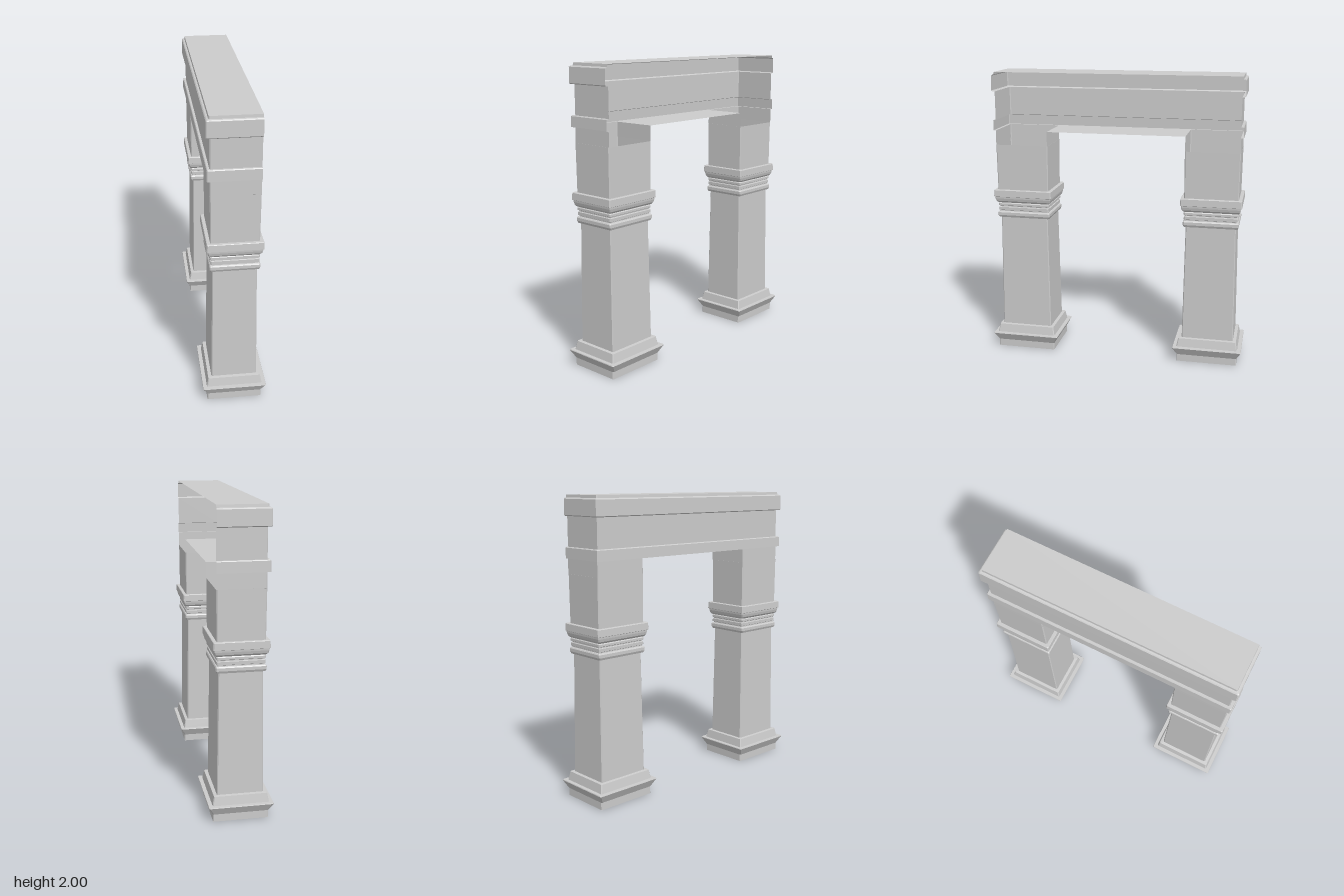
import * as THREE from 'three';

const material = new THREE.MeshStandardMaterial({ color: 0xcccccc, flatShading: true, side: THREE.DoubleSide });
const C = 0.006; // corner chamfer

// closed rectangular outline, widened on all sides by d
const rectangle = (hx, hz) => (d) => {
  const x = hx + d, z = hz + d;
  return [[-x + C, z], [x - C, z], [x, z - C], [x, -z + C], [x - C, -z], [-x + C, -z], [-x, -z + C], [-x, z - C], [-x + C, z]];
};

// three-sided outline, open towards +x, widened by d
const openSided = (hx, hz) => (d) => {
  const x = hx + d, z = hz + d;
  return [[hx, -z], [-x + C, -z], [-x, -z + C], [-x, z - C], [-x + C, z], [hx, z]];
};

// carries a moulding profile of [offset, height] around an outline
function moulding(name, outline, profile) {
  const positions = [], index = [];
  let n = 0;
  profile.forEach(([d, y]) => {
    const ring = outline(d);
    n = ring.length;
    ring.forEach(([x, z]) => positions.push(x, y, z));
  });
  for (let i = 0; i < profile.length - 1; i++) {
    for (let j = 0; j < n - 1; j++) {
      const a = i * n + j, b = a + 1, c = b + n, e = a + n;
      index.push(a, b, c, a, c, e);
    }
  }
  const indexed = new THREE.BufferGeometry();
  indexed.setAttribute('position', new THREE.Float32BufferAttribute(positions, 3));
  indexed.setIndex(index);
  const geometry = indexed.toNonIndexed();
  geometry.computeVertexNormals();
  const mesh = new THREE.Mesh(geometry, material);
  mesh.name = name;
  return mesh;
}

// flat horizontal panel, facing up or down
function panel(name, x0, x1, depth, y, up) {
  const geometry = new THREE.PlaneGeometry(x1 - x0, depth).rotateX(up ? -Math.PI / 2 : Math.PI / 2);
  const mesh = new THREE.Mesh(geometry, material);
  mesh.position.set((x0 + x1) / 2, y, 0);
  mesh.name = name;
  return mesh;
}

function createPillar(name) {
  const pillar = new THREE.Group();
  pillar.name = name;
  const outline = rectangle(0.15, 0.18);
  pillar.add(
    panel('baseUnderside', -0.18, 0.18, 0.42, 0, false),
    moulding('base', outline, [
      [0.03, 0], [0.03, 0.05], [0.06, 0.105], [0.058, 0.11], [0.033, 0.11], [0.022, 0.168], [0.0, 0.17],
    ]),
    moulding('shaft', outline, [[0, 0.17], [-0.01, 0.98]]),
    moulding('capital', outline, [
      [-0.01, 0.98], [0.002, 0.98], [0.009, 0.995], [0.009, 1.015], [0.004, 1.022],
      [-0.003, 1.024], [-0.003, 1.03], [0.003, 1.033], [0.003, 1.053], [-0.003, 1.056],
      [-0.003, 1.062], [0.004, 1.066], [0.004, 1.08], [-0.001, 1.086], [0.006, 1.088],
      [0.016, 1.1], [0.021, 1.118], [0.022, 1.13], [0.028, 1.133], [0.026, 1.178], [0.023, 1.181], [0.003, 1.181],
    ]),
    moulding('neck', outline, [[0.003, 1.181], [0.005, 1.5]]),
    // the neck stays open at the inner side of the lintel
    moulding('neckTop', openSided(0.155, 0.183), [[0, 1.5], [0, 1.6]]),
  );
  return pillar;
}

function createLintel() {
  const lintel = new THREE.Group();
  lintel.name = 'lintel';
  const outline = openSided(0.155, 0.84);
  lintel.add(
    moulding('lowerBand', outline, [[0, 1.6], [0.02, 1.6], [0.018, 1.668], [0.014, 1.673], [0, 1.673]]),
    moulding('frieze', outline, [[0, 1.673], [0, 1.868]]),
    moulding('cornice', outline, [
      [0, 1.868], [0.018, 1.868], [0.024, 1.874], [0.022, 1.974], [0.016, 1.98], [0.005, 1.982], [0.003, 2],
    ]),
    panel('topSlab', -0.158, 0.155, 1.686, 2, true),
    panel('soffit', -0.155, 0.155, 0.955, 1.6, false),
  );
  return lintel;
}

export function createModel() {
  const model = new THREE.Group();
  model.name = 'gateway';
  for (const [name, side] of [['frontPillar', 1], ['backPillar', -1]]) {
    const pillar = createPillar(name);
    pillar.position.z = side * 0.66;
    model.add(pillar);
  }
  model.add(createLintel());
  return model;
}
